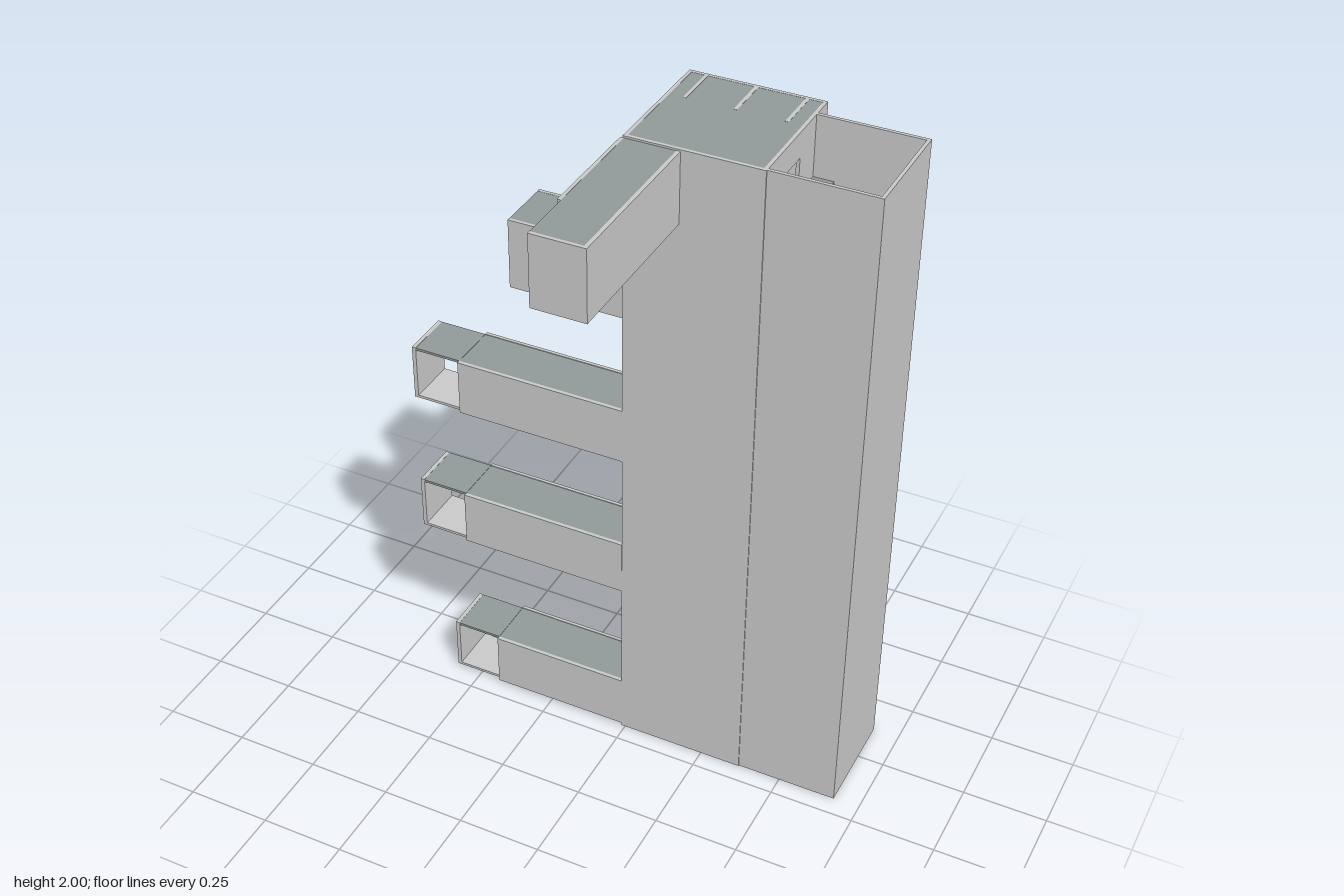
import * as THREE from 'three';

const wallMat = new THREE.MeshStandardMaterial({ color: 0xc9c9c9 });
wallMat.name = 'concrete grey';
const slabMat = new THREE.MeshStandardMaterial({ color: 0x919a98 });
slabMat.name = 'slab green grey';

// Box given by its limits on each axis
function box(parent, name, mat, x0, x1, y0, y1, z0, z1) {
  const mesh = new THREE.Mesh(new THREE.BoxGeometry(x1 - x0, y1 - y0, z1 - z0), mat);
  mesh.position.set((x0 + x1) / 2, (y0 + y1) / 2, (z0 + z1) / 2);
  mesh.name = name;
  parent.add(mesh);
}

// Upright wall panel with rectangular openings [u0, u1, v0, v1]
function panelGeometry(u0, u1, v0, v1, holes) {
  const rect = (P, a, b, c, d) => {
    const p = new P();
    p.moveTo(a, c); p.lineTo(b, c); p.lineTo(b, d); p.lineTo(a, d); p.closePath();
    return p;
  };
  const shape = rect(THREE.Shape, u0, u1, v0, v1);
  for (const h of holes) shape.holes.push(rect(THREE.Path, ...h));
  return new THREE.ExtrudeGeometry(shape, { depth: T, bevelEnabled: false });
}

function addGroup(parent, name) {
  const g = new THREE.Group();
  g.name = name;
  parent.add(g);
  return g;
}

const T = 0.01;
const STOREY = 0.165, STOREYS = 11;
// Side bridges with an open end bay: outer end, wall end, floor level, top
const BRIDGES = [
  [-0.58, -0.43, 0.01, 0.18],
  [-0.672, -0.52, 0.53, 0.70],
  [-0.672, -0.52, 0.995, 1.165],
];

function liftTower(root) {
  const g = addGroup(root, 'liftTower');
  box(g, 'backWall', wallMat, -0.012, 0.372, 0, 2, -0.442, -0.432);

  // Front wall with the opening to the top bridge
  const front = new THREE.Mesh(
    panelGeometry(-0.012, 0.372, 0, 2, [[0, 0.13, 1.8, 1.975]]), wallMat);
  front.position.z = -0.065;
  front.name = 'frontWall';
  g.add(front);

  // Side wall with lobby doorways to the bridges
  const doors = BRIDGES.map(([, , y0, y1]) => [-0.285, -0.07, y0 + 0.01, y1 - 0.01]);
  doors.push([-0.285, -0.13, 1.43, 1.61]);
  const side = new THREE.Mesh(panelGeometry(-0.432, -0.065, 0, 2, doors), wallMat);
  side.rotation.y = -Math.PI / 2;
  side.position.x = -0.002;
  side.name = 'bridgeSideWall';
  g.add(side);

  // Wall shared with the stairs, one door per storey
  const stairDoors = [];
  for (let i = 0; i <= STOREYS; i++) {
    stairDoors.push([-0.27, -0.19, i * STOREY + 0.012, i * STOREY + 0.11]);
  }
  const shared = new THREE.Mesh(panelGeometry(-0.432, -0.065, 0, 2, stairDoors), wallMat);
  shared.rotation.y = -Math.PI / 2;
  shared.position.x = 0.372;
  shared.name = 'stairSideWall';
  g.add(shared);

  // Lift shaft dividers reach up through the roof
  for (const x of [0.04, 0.18, 0.32]) {
    box(g, 'liftDivider', wallMat, x - 0.005, x + 0.005, 0, 2, -0.432, -0.3);
  }
  box(g, 'roof', slabMat, -0.002, 0.362, 1.985, 1.9994, -0.432, -0.065);
  for (const y of [0, 0.53, 0.995, 1.42, 1.79]) {
    box(g, 'lobbyFloor', wallMat, -0.002, 0.362, y, y + 0.01, -0.3, -0.065);
  }
}

function stairTower(root) {
  const g = addGroup(root, 'stairTower');
  box(g, 'frontWall', wallMat, 0.372, 0.672, 0, 2, -0.068, -0.058);
  box(g, 'backWall', wallMat, 0.372, 0.672, 0, 2, -0.377, -0.367);
  box(g, 'endWall', wallMat, 0.662, 0.672, 0, 2, -0.367, -0.068);

  // Two dog-leg stairs; each storey has an up flight and a return flight
  const flights = [
    [-0.367, -0.308, 0], [-0.29, -0.227, 1],
    [-0.212, -0.147, 1], [-0.13, -0.068, 0],
  ];
  const N = 9, run = 0.13 / N, rise = STOREY / 2 / N;
  for (let i = 0; i <= STOREYS; i++) {
    const y = i * STOREY;
    box(g, 'mainLanding', slabMat, 0.372, 0.43, y, y + 0.008, -0.367, -0.068);
    if (i === STOREYS) break;
    const m = y + STOREY / 2;
    box(g, 'backHalfLanding', slabMat, 0.56, 0.662, m, m + 0.008, -0.367, -0.227);
    box(g, 'frontHalfLanding', slabMat, 0.56, 0.662, m, m + 0.008, -0.212, -0.068);
    for (const [z0, z1, returning] of flights) {
      for (let s = 0; s < N; s++) {
        const x = 0.43 + s * run;
        const top = returning ? y + STOREY - s * rise : y + (s + 1) * rise;
        box(g, 'step', slabMat, x, x + run, Math.max(0, top - rise - 0.004), top, z0, z1);
      }
    }
  }
}

function sideBridge(root, [xEnd, xWall, y0, y1]) {
  const g = addGroup(root, 'sideBridge');
  const x1 = -0.012, xIn = xEnd + 0.012;
  box(g, 'backWall', wallMat, xWall, x1, y0, y1, -0.222, -0.212);
  box(g, 'frontWall', wallMat, xWall, x1, y0, y1, -0.065, -0.054);
  box(g, 'endWall', wallMat, xEnd, xIn, y0, y1, -0.212, -0.065);
  box(g, 'floor', wallMat, xIn, x1, y0, y0 + 0.008, -0.212, -0.065);
  box(g, 'bayRoof', slabMat, xIn, xWall, y1 - 0.008, y1 - 0.0006, -0.212, -0.065);
  box(g, 'roof', slabMat, xWall, x1, y1 - 0.008, y1 - 0.002, -0.212, -0.065);
}

// Short bridge, open at its outer end
function shortBridge(root) {
  const g = addGroup(root, 'shortBridge');
  const x0 = -0.382, x1 = -0.012, y0 = 1.415, y1 = 1.625;
  box(g, 'backWall', wallMat, x0, x1, y0, y1, -0.297, -0.287);
  box(g, 'frontWall', wallMat, x0, x1, y0, y1, -0.13, -0.12);
  box(g, 'floor', wallMat, x0, x1, y0, y0 + 0.008, -0.287, -0.13);
  box(g, 'roof', slabMat, x0, x1, y1 - 0.008, y1 - 0.0006, -0.287, -0.13);
}

// Top bridge runs forward, with an open bay on one side near its end
function frontBridge(root) {
  const g = addGroup(root, 'frontBridge');
  const z0 = -0.055, z1 = 0.442, y0 = 1.79, y1 = 1.995;
  box(g, 'shortSideWall', wallMat, -0.018, -0.008, y0, y1, z0, 0.277);
  box(g, 'longSideWall', wallMat, 0.134, 0.145, y0, y1, z0, z1);
  box(g, 'endWall', wallMat, -0.008, 0.134, y0, y1, z1 - T, z1);
  box(g, 'floor', wallMat, -0.008, 0.134, y0, y0 + 0.008, z0, z1 - T);
  box(g, 'roof', slabMat, -0.008, 0.134, y1 - 0.008, y1 - 0.0006, z0, z1 - T);
}

export function createModel() {
  const root = new THREE.Group();
  root.name = 'circulationTower';
  liftTower(root);
  stairTower(root);
  for (const b of BRIDGES) sideBridge(root, b);
  shortBridge(root);
  frontBridge(root);
  return root;
}
